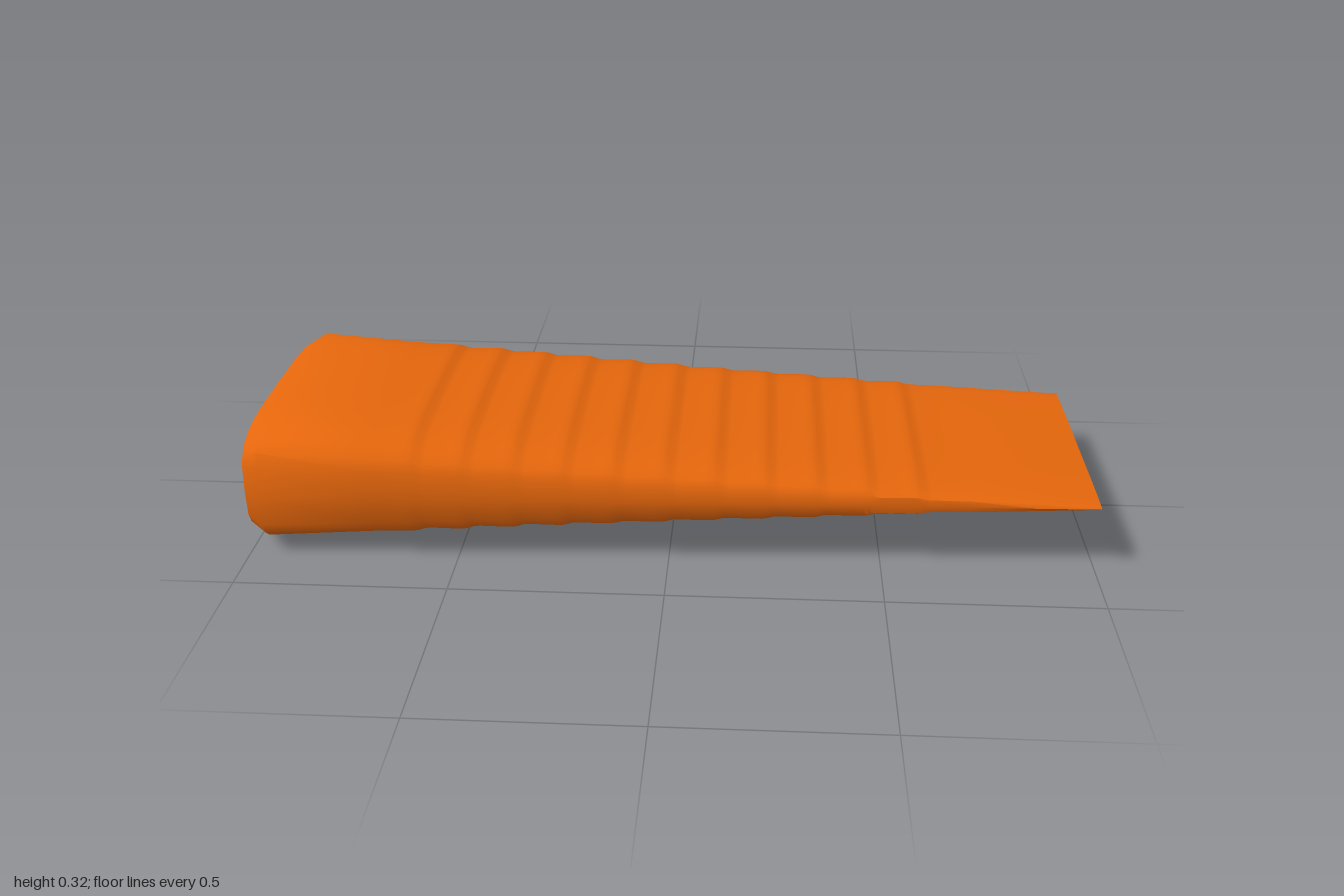
import * as THREE from 'three';
import { toCreasedNormals } from 'three/addons/utils/BufferGeometryUtils.js';

const MID_Y = 0.16;

// Quarter of the rounded cross-section as [z, y], scaled to 1
const QUARTER = [
  [1, 0], [0.987, 0.47], [0.947, 0.66], [0.88, 0.785], [0.79, 0.885],
  [0.66, 0.95], [0.47, 0.988], [0.24, 0.997], [0, 1],
];

// Full closed loop, mirrored from the quarter
function sectionLoop() {
  const top = [...QUARTER, ...QUARTER.slice(0, -1).reverse().map(([z, y]) => [-z, y])];
  const bottom = top.slice(1, -1).reverse().map(([z, y]) => [z, -y]);
  return [...top, ...bottom];
}

// Stations along the wedge: [x, half height, half width]
function stations() {
  const t = (x) => (x + 0.96) / 1.96;
  const height = (x) => THREE.MathUtils.lerp(0.16, 0.006, t(x));
  const width = (x) => THREE.MathUtils.lerp(0.378, 0.328, t(x));
  const list = [[-1, 0.136, 0.35], [-0.96, 0.16, 0.378], [-0.7, height(-0.7), width(-0.7)]];
  // Grip ridges: a shallow run, then a short drop
  const ridge = [[-0.035, 0.003], [-0.018, 0.004], [-0.006, 0.002], [0.008, -0.003], [0.02, -0.004]];
  for (let k = 0; k < 11; k++) {
    for (const [dx, dy] of ridge) {
      const x = -0.59 + 0.118 * k + dx;
      list.push([x, height(x) + dy, width(x)]);
    }
  }
  for (const x of [0.7, 0.85, 1]) list.push([x, height(x), width(x)]);
  return list;
}

// Skin the sections and close both ends
function wedgeGeometry() {
  const loop = sectionLoop();
  const rows = stations();
  const n = loop.length;
  const positions = [];
  const index = [];
  for (const [x, h, w] of rows) {
    for (const [z, y] of loop) positions.push(x, MID_Y + y * h, z * w);
  }
  for (let i = 0; i < rows.length - 1; i++) {
    for (let j = 0; j < n; j++) {
      const a = i * n + j;
      const c = i * n + (j + 1) % n;
      index.push(a, a + n, c, c, a + n, c + n);
    }
  }
  const backCentre = positions.length / 3;
  positions.push(-1, MID_Y, 0, 1, MID_Y, 0);
  const last = (rows.length - 1) * n;
  for (let j = 0; j < n; j++) {
    const k = (j + 1) % n;
    index.push(backCentre, j, k, backCentre + 1, last + k, last + j);
  }
  const geometry = new THREE.BufferGeometry();
  geometry.setAttribute('position', new THREE.Float32BufferAttribute(positions, 3));
  geometry.setIndex(index);
  return toCreasedNormals(geometry, THREE.MathUtils.degToRad(45));
}

export function createModel() {
  const orange = new THREE.MeshStandardMaterial({ color: 0xe5660c });
  orange.name = 'orange';

  const wedge = new THREE.Mesh(wedgeGeometry(), orange);
  wedge.name = 'ridgedWedge';

  const group = new THREE.Group();
  group.name = 'wedge';
  group.add(wedge);
  return group;
}
